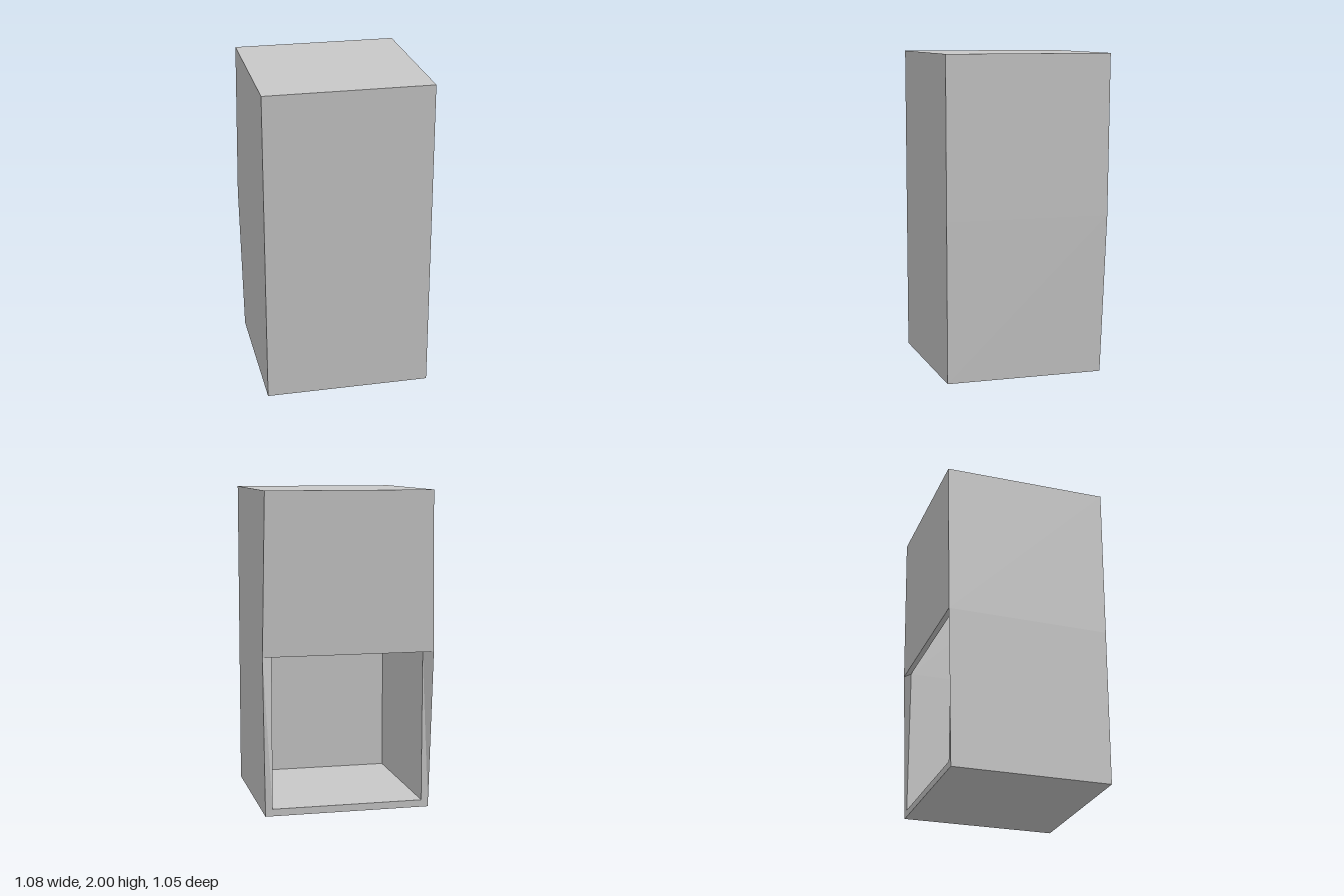
import * as THREE from 'three';

// Four corners at one height, counter-clockwise from above, starting front left
const ring = (y, frontX, frontZ, backX, backZ) => [
  [frontX, y, frontZ], [backX, y, backZ], [-backX, y, backZ], [-frontX, y, frontZ],
];

// Flat-shaded mesh from a list of four-cornered faces
function quadMesh(name, quads, material) {
  const positions = quads.flatMap(([a, b, c, d]) => [a, b, c, a, c, d].flat());
  const geometry = new THREE.BufferGeometry();
  geometry.setAttribute('position', new THREE.Float32BufferAttribute(positions, 3));
  geometry.computeVertexNormals();
  const mesh = new THREE.Mesh(geometry, material);
  mesh.name = name;
  return mesh;
}

// Outward walls between two rings for the chosen sides (1 is the back)
const walls = (low, high, sides) => sides.map((i) => {
  const j = (i + 1) % 4;
  return [low[i], low[j], high[j], high[i]];
});
const flip = (quad) => [...quad].reverse();

export function createModel() {
  const group = new THREE.Group();
  group.name = 'hollowCabinet';
  const grey = new THREE.MeshStandardMaterial({ color: 0xc8c8c8 });
  grey.name = 'plain grey';

  // Outer rings bulge slightly at the middle of the back
  const [o0, o1, o2] = [
    ring(0, 0.523, 0.523, 0.523, -0.472),
    ring(1, 0.523, 0.523, 0.54, -0.506),
    ring(2, 0.523, 0.523, 0.523, -0.523),
  ];
  // Inner rings of the straight hollow
  const [i0, i1, i2] = [0.045, 1, 1.955].map((y) => ring(y, 0.478, 0.482, 0.478, -0.472));

  // Outer shell, with the lower half of the back left open
  group.add(quadMesh('outerShell', [
    ...walls(o0, o1, [0, 2, 3]),
    ...walls(o1, o2, [0, 1, 2, 3]),
    o2,
    flip(o0),
  ], grey));

  // Frame around the opening in the back
  const outer = [o0[1], o0[2], o1[2], o1[1]];
  const inner = [i0[1], i0[2], i1[2], i1[1]];
  group.add(quadMesh('openingRim', outer.map((p, k) => {
    const n = (k + 1) % 4;
    return [p, outer[n], inner[n], inner[k]];
  }), grey));

  // Interior walls, floor and ceiling
  group.add(quadMesh('interior', [
    ...walls(i0, i1, [0, 2, 3]).map(flip),
    ...walls(i1, i2, [0, 1, 2, 3]).map(flip),
    i0,
    flip(i2),
  ], grey));

  return group;
}
